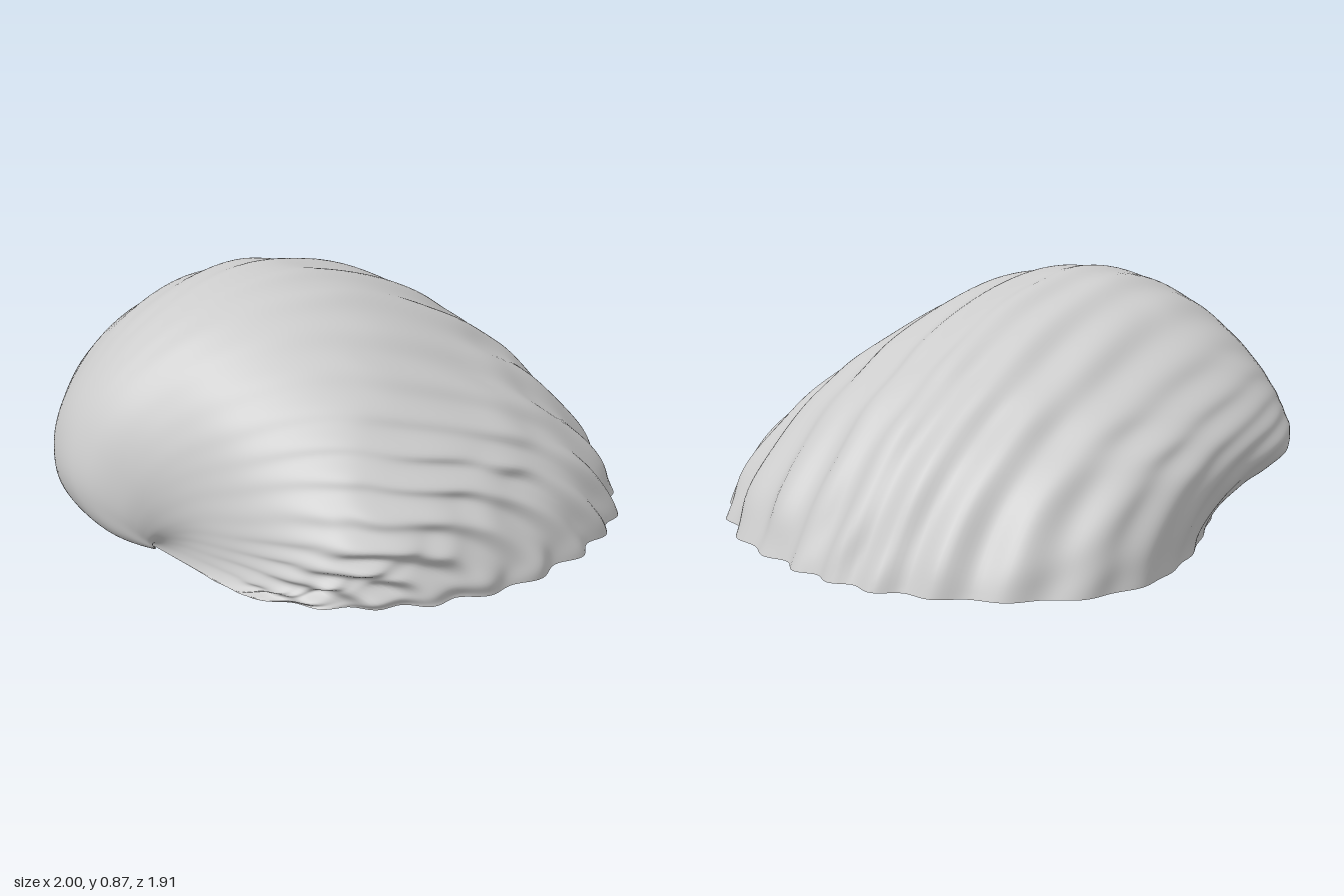
import * as THREE from 'three';

const HINGE = { x: -0.8, z: -0.25 };
const AROUND = 320, ROWS = 84, RIBS = 28;

// Outline of the open edge [x, z], from the +x end round the front to the hinge and back
const RIM = [
  [0.98, -0.2], [0.96, 0.03], [0.91, 0.28], [0.79, 0.52], [0.6, 0.74], [0.38, 0.86],
  [0.15, 0.92], [-0.1, 0.94], [-0.38, 0.87], [-0.63, 0.7], [-0.79, 0.44], [-0.79, 0.16],
  [-0.73, -0.12], [-0.66, -0.3], [-0.5, -0.57], [-0.25, -0.73], [0.05, -0.88],
  [0.35, -0.95], [0.6, -0.88], [0.8, -0.69], [0.93, -0.45],
];

// Growth stages from edge to beak: size, tilt in degrees, front width, back width, middle z
const GROWTH = [
  [1, 0, 1, 1, -0.25], [0.956, 6.2, 0.99, 0.99, -0.25], [0.883, 15.4, 0.95, 0.97, -0.25],
  [0.82, 22.5, 0.925, 0.94, -0.25], [0.75, 31, 0.89, 0.9, -0.25], [0.644, 46.4, 0.81, 0.83, -0.25],
  [0.572, 57.7, 0.72, 0.76, -0.25], [0.447, 75.6, 0.54, 0.62, -0.25], [0.344, 92, 0.38, 0.47, -0.27],
  [0.242, 113, 0.28, 0.34, -0.28], [0.16, 135, 0.2, 0.25, -0.24], [0.085, 153, 0.11, 0.15, -0.14],
  [0.006, 165, 0.005, 0.008, -0.07],
];

export function createModel() {
  const rim = new THREE.CatmullRomCurve3(RIM.map(([x, z]) => new THREE.Vector3(x, 0, z)), true);
  rim.arcLengthDivisions = 800;
  const growth = new THREE.CubicInterpolant(GROWTH.map((_, i) => i), GROWTH.flat(), 5, new Float32Array(5));
  const { smoothstep, lerp, degToRad } = THREE.MathUtils;
  const bell = (t, middle, spread) => Math.exp(-(((t - middle) / spread) ** 2));

  const edge = [];
  for (let j = 0; j < AROUND; j++) {
    const t = j / AROUND, p = rim.getPointAt(t), d = rim.getTangentAt(t);
    // Ribs are strong on the front and far edge, faint on the smooth back and at the hinge
    const back = smoothstep(t, 0.62, 0.68) * (1 - smoothstep(t, 0.8, 0.93));
    const amp = 0.017 * (1 - 0.75 * back) * (1 - 0.9 * bell(t, 0.55, 0.12));
    edge.push({ t, p, nx: d.z, nz: -d.x, amp, bulge: 0.4 * bell(t, 0.7, 0.08) });
  }

  const pos = [], index = [];
  for (let i = 0; i <= ROWS; i++) {
    const u = i / ROWS;
    const [size, tilt, front, rear, middle] = growth.evaluate(u * (GROWTH.length - 1));
    const a = degToRad(tilt);
    const fade = smoothstep(size, 0.25, 0.85);
    // The arch grows rounder and the back fuller towards the top
    const rise = smoothstep(tilt, 0, 45);
    for (const { t, p, nx, nz, amp, bulge } of edge) {
      const w = t * Math.PI * 2;
      const phase = w * RIBS + 0.8 * Math.sin(8 * u + 3 * w) + 0.9 * Math.sin(5 * w);
      // Rounded ribs plus uneven growth ripples
      const ripple = Math.sin(46 * u + 2 * Math.sin(7 * w)) * Math.sin(11 * w + 8 * u);
      const bump = amp * fade * (Math.cos(phase) + 0.4 * ripple);
      const rz = p.z + nz * bump - HINGE.z;
      const rx = (p.x + nx * bump - HINGE.x) * (1 - 0.26 * rise * (rz - 0.13) ** 2);
      const wide = lerp(rear, front, smoothstep(rz, -0.45, 0.45)) * (1 + bulge * rise);
      pos.push(
        HINGE.x + rx * size * Math.cos(a),
        Math.max(0, rx * size * Math.sin(a)),
        middle + rz * wide,
      );
    }
  }
  for (let i = 0; i < ROWS; i++) {
    for (let j = 0; j < AROUND; j++) {
      const k = (j + 1) % AROUND;
      const a = i * AROUND + j, b = i * AROUND + k, c = a + AROUND, d = b + AROUND;
      index.push(a, c, b, b, c, d);
    }
  }

  const geometry = new THREE.BufferGeometry();
  geometry.setAttribute('position', new THREE.Float32BufferAttribute(pos, 3));
  geometry.setIndex(index);
  geometry.computeVertexNormals();

  // Hollow ribbed shell, open underneath
  const shell = new THREE.Mesh(
    geometry,
    new THREE.MeshStandardMaterial({ color: 0xcccccc, side: THREE.DoubleSide }),
  );
  shell.name = 'shell';
  const group = new THREE.Group();
  group.name = 'clamShell';
  group.add(shell);
  return group;
}
